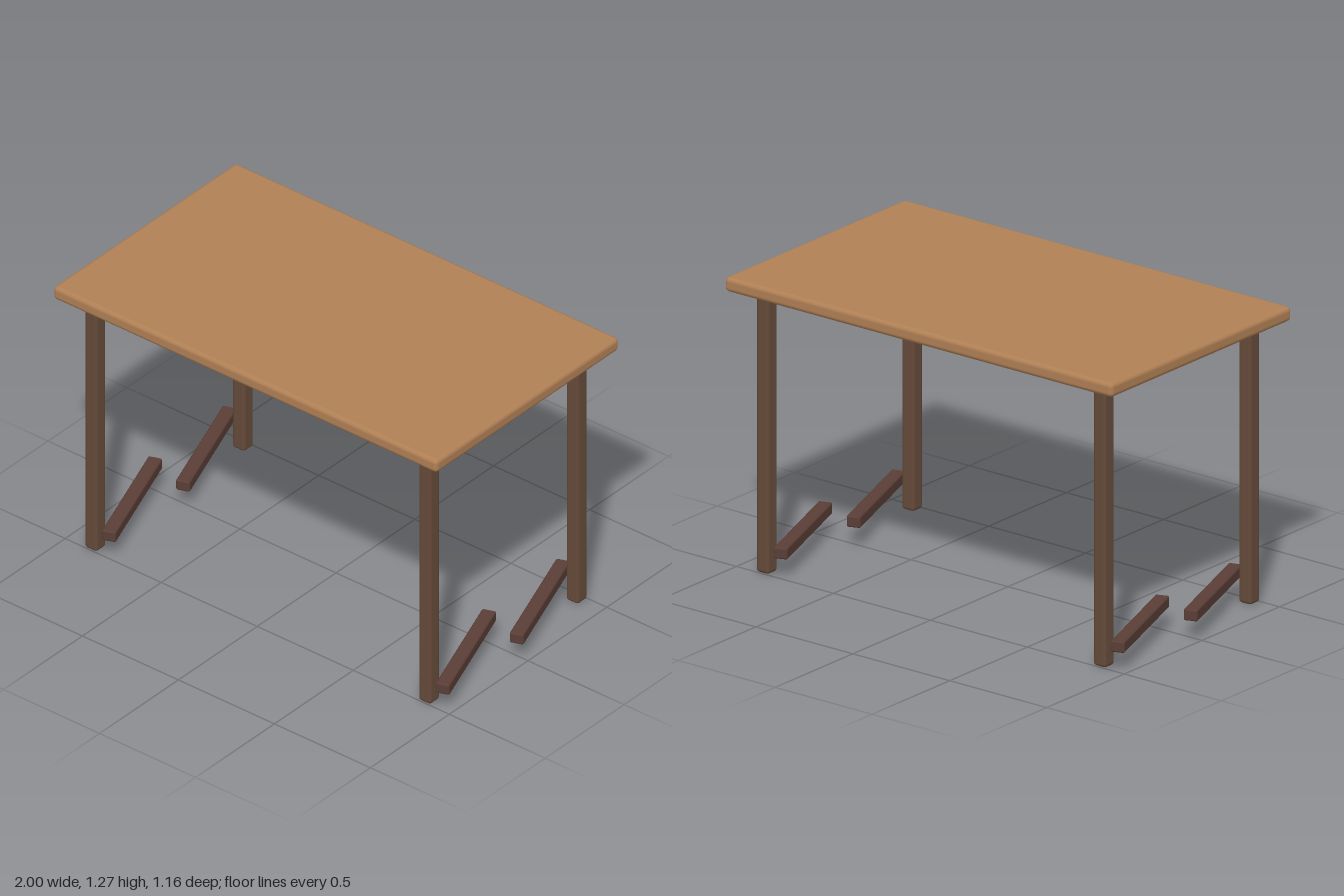
import * as THREE from 'three';
import { RoundedBoxGeometry } from 'three/addons/geometries/RoundedBoxGeometry.js';

const topWood = new THREE.MeshStandardMaterial({ color: 0xb08055 });
const legWood = new THREE.MeshStandardMaterial({ color: 0x654a3a });
const footWood = new THREE.MeshStandardMaterial({ color: 0x5a3e36 });

// Softly rounded wooden board centred on its position
function board(name, [w, h, d], radius, material, [x, y, z]) {
  const mesh = new THREE.Mesh(new RoundedBoxGeometry(w, h, d, 2, radius), material);
  mesh.name = name;
  mesh.position.set(x, y, z);
  return mesh;
}

export function createModel() {
  const table = new THREE.Group();
  table.name = 'table';

  // Table top
  table.add(board('tableTop', [2, 0.063, 1.164], 0.02, topWood, [0, 1.235, 0]));

  for (const sx of [1, -1]) {
    for (const sz of [1, -1]) {
      const corner = (sz > 0 ? 'front' : 'back') + (sx > 0 ? 'Left' : 'Right');

      // Upright leg
      table.add(board(corner + 'Leg', [0.064, 1.202, 0.064], 0.014, legWood,
        [sx * 0.869, 0.601, sz * 0.468]));

      // Slanted low bar, all four parallel
      const bar = board(corner + 'FootBar', [0.06, 0.05, 0.572], 0.008, footWood,
        [sx * 0.869, 0.109, sz * 0.235]);
      bar.rotation.y = 0.35;
      table.add(bar);
    }
  }
  return table;
}
